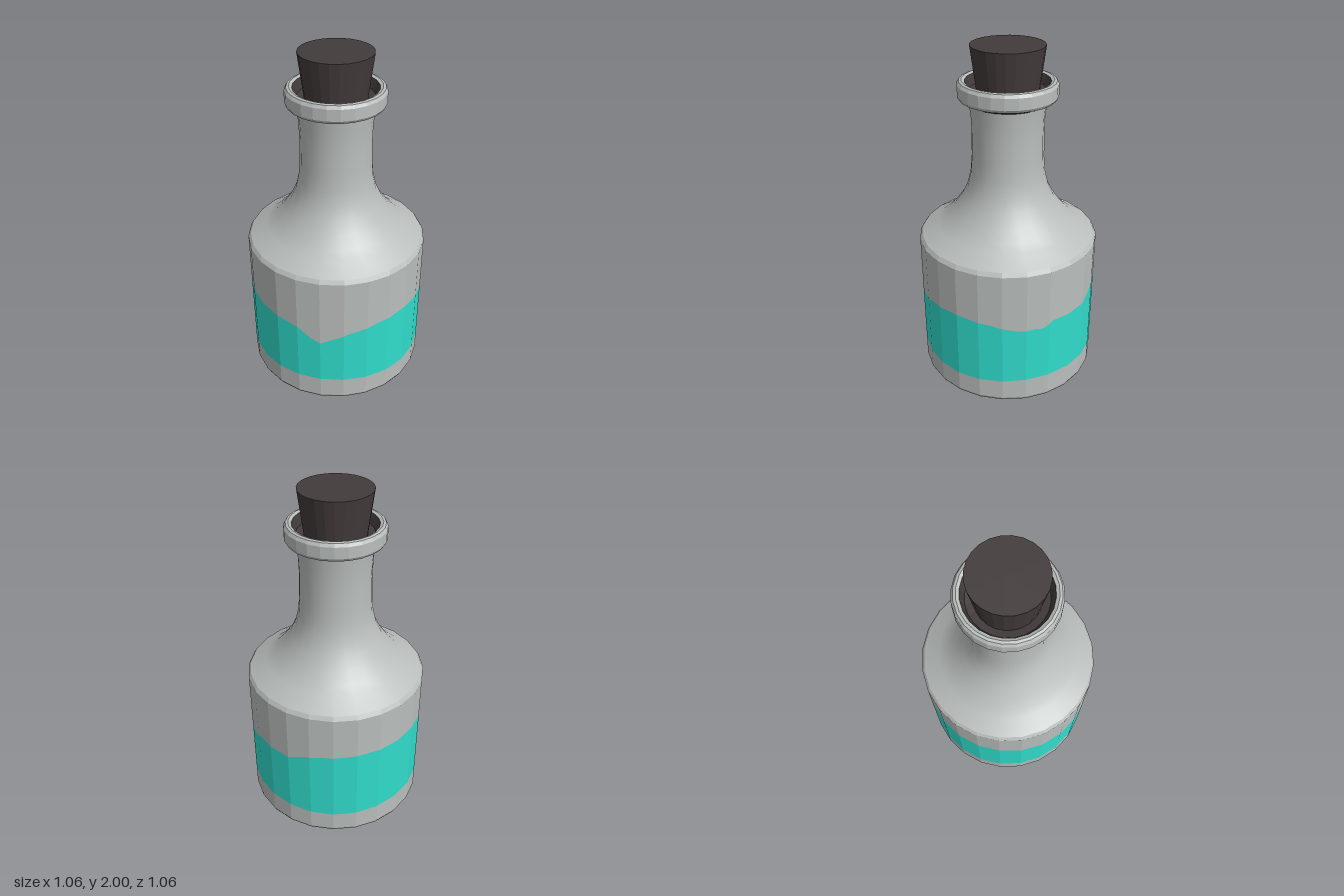
import * as THREE from 'three';

const SIDES = 24, R = 0.53;

export function createModel() {
  const group = new THREE.Group();
  group.name = 'corkedBottle';
  const paint = (name, hex) => {
    const m = new THREE.MeshStandardMaterial({ color: hex });
    m.name = name;
    return m;
  };
  const glass = paint('grey glass', 0xb9bebc);
  const liquid = paint('turquoise', 0x30dccb);
  const cork = paint('dark cork', 0x433b3b);

  const add = (name, geometry, material) => {
    const mesh = new THREE.Mesh(geometry, material);
    mesh.name = name;
    group.add(mesh);
  };
  const facet = (g) => {
    const f = g.toNonIndexed();
    f.computeVertexNormals();
    return f;
  };
  const lathe = (pts) => new THREE.LatheGeometry(pts.map(([r, y]) => new THREE.Vector2(r, y)), SIDES);

  // Heights of the liquid line by angle in degrees, from +z towards +x
  const line = [[0, 0.565], [22, 0.545], [41, 0.505], [50, 0.512], [56, 0.5], [62, 0.54], [90, 0.54],
    [101, 0.58], [112, 0.595], [139, 0.605], [180, 0.615], [200, 0.6], [225, 0.585], [241, 0.57],
    [270, 0.55], [285, 0.53], [294, 0.465], [300, 0.44], [318, 0.51], [338, 0.55], [360, 0.565]];
  const liquidTop = (a) => {
    const i = Math.max(1, line.findIndex((p) => p[0] >= a));
    const [a0, y0] = line[i - 1], [a1, y1] = line[i];
    return y0 + (y1 - y0) * (a - a0) / (a1 - a0);
  };
  const liquidBase = (a) => 0.147 - 0.006 * Math.cos(a * Math.PI / 60);

  // One band of the faceted wall between two heights that vary with the angle
  const wallBand = (low, high) => {
    const g = new THREE.CylinderGeometry(R, R, 1, SIDES * 5, 1, true);
    const p = g.attributes.position, step = Math.PI * 2 / SIDES;
    for (let i = 0; i < p.count; i++) {
      const k = i % (SIDES * 5 + 1), t = k / (SIDES * 5) * Math.PI * 2;
      const local = (k % 5) / 5 * step - step / 2;
      const r = R * Math.cos(step / 2) / Math.cos(local);
      const edge = p.getY(i) > 0 ? high : low;
      p.setXYZ(i, r * Math.sin(t), edge(t * 180 / Math.PI), r * Math.cos(t));
    }
    return facet(g);
  };
  add('lowerWall', wallBand(() => 0.02, liquidBase), glass);
  add('liquidBand', wallBand(liquidBase, liquidTop), liquid);
  add('upperWall', wallBand(liquidTop, () => 0.87), glass);

  // Base, shoulder and neck
  add('base', facet(lathe([[0, 0], [0.52, 0], [R, 0.02]])), glass);
  add('shoulderEdge', facet(lathe([[R, 0.87], [0.515, 0.893]])), glass);
  add('shoulderAndNeck', lathe([[0.515, 0.893], [0.42, 0.95], [0.37, 0.99], [0.32, 1.045], [0.27, 1.115],
    [0.235, 1.19], [0.216, 1.27], [0.208, 1.36], [0.205, 1.5], [0.208, 1.6], [0.218, 1.695]]), glass);

  // Lip with its dark collar and dark inside
  add('collar', facet(lathe([[0.218, 1.685], [0.226, 1.69], [0.25, 1.702]])), cork);
  add('lip', facet(lathe([[0.25, 1.702], [0.27, 1.708], [0.281, 1.725], [0.281, 1.79], [0.27, 1.808],
    [0.255, 1.812], [0.238, 1.805]])), glass);
  add('lipInside', facet(lathe([[0.238, 1.805], [0.215, 1.75], [0.16, 1.74]])), cork);

  // Tapered stopper
  const stopper = new THREE.CylinderGeometry(0.207, 0.172, 0.27, SIDES);
  stopper.translate(0, 1.865, 0);
  add('stopper', facet(stopper), cork);

  return group;
}
